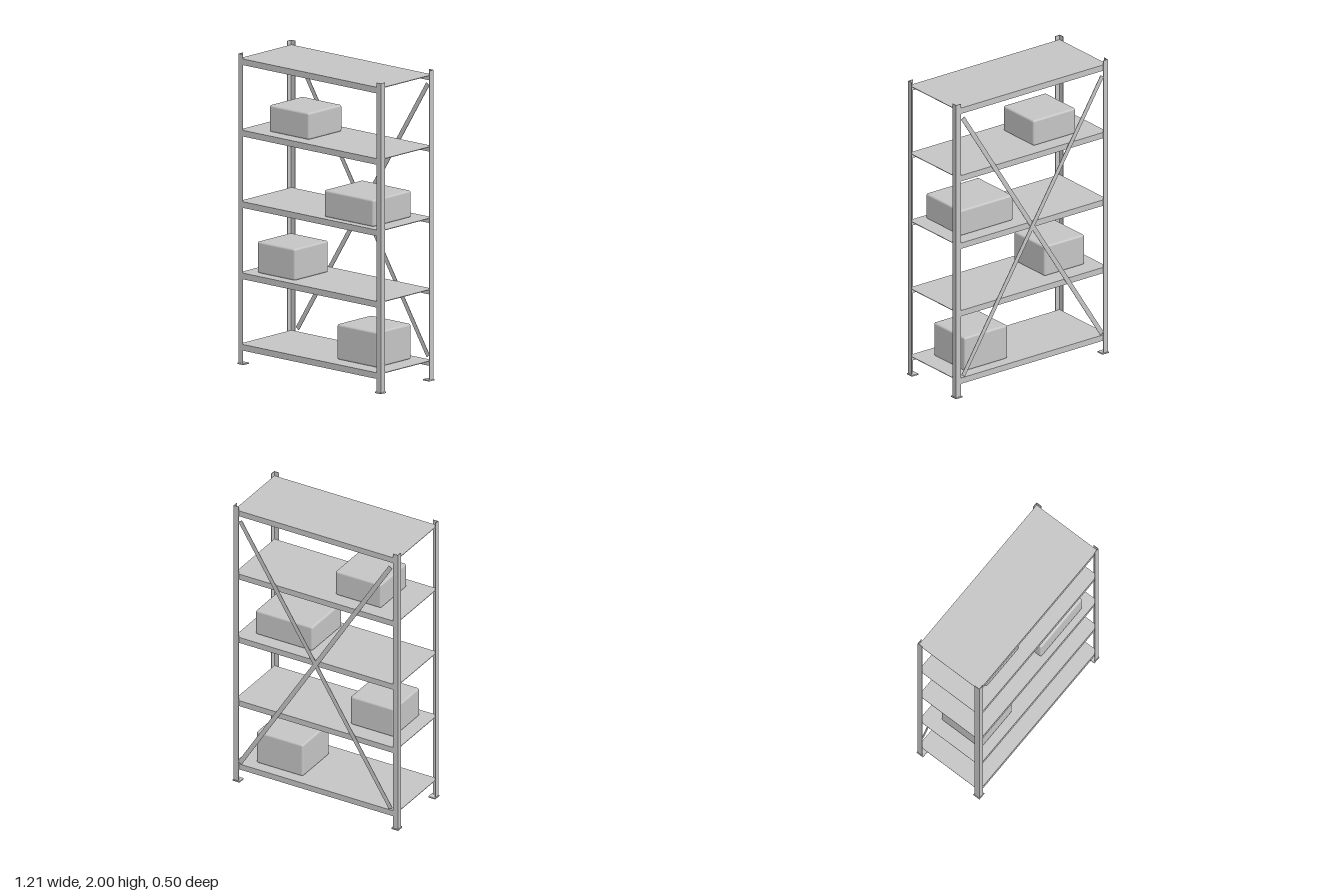
import * as THREE from 'three';
import { RoundedBoxGeometry } from 'three/addons/geometries/RoundedBoxGeometry.js';

export function createModel() {
  const group = new THREE.Group();
  group.name = 'storageRack';
  const steel = new THREE.MeshStandardMaterial({ color: 0xc4c4c4 });
  steel.name = 'light grey';

  function add(name, geometry, x, y, z) {
    const mesh = new THREE.Mesh(geometry, steel);
    mesh.name = name;
    mesh.position.set(x, y, z);
    group.add(mesh);
    return mesh;
  }
  const box = (w, h, d) => new THREE.BoxGeometry(w, h, d);

  // Angle-section posts, corner outwards, each on a square foot plate
  const X = 0.6, Z = 0.247, ARM = 0.037, T = 0.004;
  for (const sx of [-1, 1]) {
    for (const sz of [-1, 1]) {
      const side = (sz > 0 ? 'front' : 'back') + (sx > 0 ? 'Left' : 'Right');
      const pts = [[0, 0], [ARM, 0], [ARM, T], [T, T], [T, ARM], [0, ARM]]
        .map(([a, b]) => new THREE.Vector2(sx * (X - a), -sz * (Z - b)));
      const post = new THREE.ExtrudeGeometry(new THREE.Shape(pts), { depth: 2, bevelEnabled: false });
      post.rotateX(-Math.PI / 2);
      add(side + 'Post', post, 0, 0, 0);
      add(side + 'Foot', box(0.05, 0.008, 0.05), sx * 0.579, 0.004, sz * 0.226);
    }
  }

  // Thin shelf panels with a beam along the front and the back
  [0.13, 0.59, 1.05, 1.51, 1.97].forEach((top, i) => {
    add('shelf' + (i + 1), box(1.19, 0.004, 0.486), 0, top - 0.002, 0);
    for (const sz of [-1, 1]) {
      add((sz > 0 ? 'front' : 'back') + 'Beam' + (i + 1), box(1.19, 0.036, T), 0, top - 0.022, sz * 0.24);
    }
  });

  // Crossed flat braces on the back
  const dx = 1.1, dy = 1.756;
  for (const s of [-1, 1]) {
    const brace = add(s > 0 ? 'braceRising' : 'braceFalling',
      box(Math.hypot(dx, dy), 0.03, 0.003), 0, 1.024, s > 0 ? -0.2495 : -0.2525);
    brace.rotation.z = s * Math.atan2(dy, dx);
  }

  // Cartons with softened edges: x range, y range, z range
  const cartons = [
    [0.137, 0.477, 0.13, 0.358, -0.175, 0.145],
    [-0.503, -0.185, 0.59, 0.793, -0.135, 0.18],
    [0.079, 0.495, 1.05, 1.223, -0.156, 0.201],
    [-0.42, -0.085, 1.51, 1.682, -0.152, 0.16],
  ];
  cartons.forEach(([x0, x1, y0, y1, z0, z1], i) => {
    add('carton' + (i + 1), new RoundedBoxGeometry(x1 - x0, y1 - y0, z1 - z0, 3, 0.013),
      (x0 + x1) / 2, (y0 + y1) / 2, (z0 + z1) / 2);
  });

  // Centre the depth, counting the braces
  for (const part of group.children) part.position.z += 0.0015;
  return group;
}
